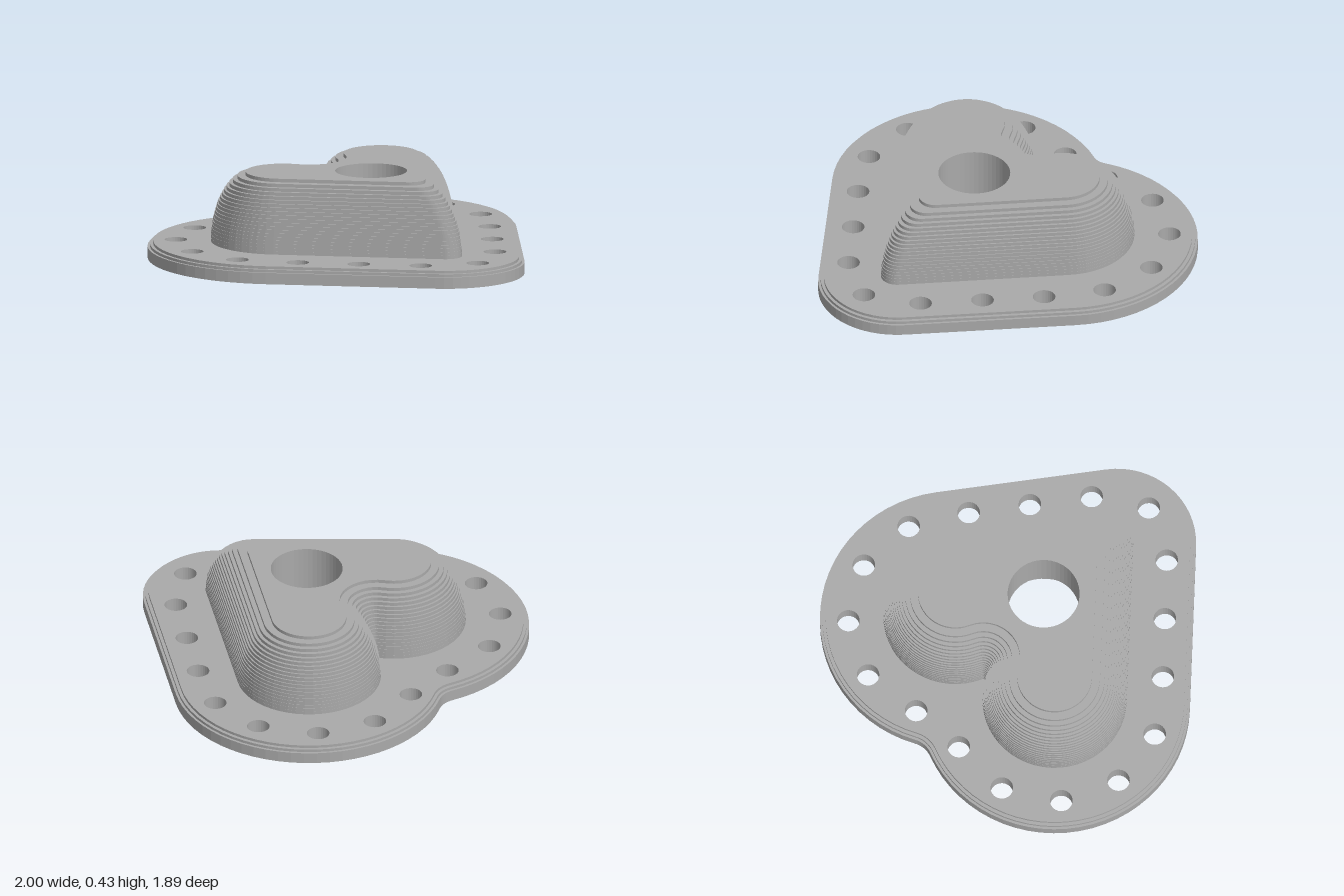
import * as THREE from 'three';

const LOBE_X = 0.33, LOBE_Z = -0.276;
const SIDE = THREE.MathUtils.degToRad(39.9); // direction of the straight sides' normal

// Points [x, z] along an arc
function arc(cx, cz, r, from, to, n) {
  return Array.from({ length: n + 1 }, (_, i) => {
    const a = from + (to - from) * i / n;
    return [cx + r * Math.cos(a), cz + r * Math.sin(a)];
  });
}

// Heart outline: rounded tip, round lobe, concave fillet at the notch, then mirrored
function heart(lobeR, notchR, tipZ, tipR) {
  const drop = Math.sqrt((lobeR + notchR) ** 2 - LOBE_X ** 2);
  const a = Math.atan2(-drop, -LOBE_X);
  const half = [
    ...arc(0, tipZ, tipR, Math.PI / 2, SIDE, 8),
    ...arc(LOBE_X, LOBE_Z, lobeR, SIDE, a, 28),
    ...arc(0, LOBE_Z - drop, notchR, a + Math.PI, Math.PI / 2, 6).slice(1),
  ];
  const mirrored = half.slice(1, -1).reverse().map(([x, z]) => [-x, z]);
  return [...half, ...mirrored];
}

const circle = (x, z, r, n) => arc(x, z, r, 0, -Math.PI * 2, n).slice(0, n);

// Faceted skin through a list of { points, y } rings
function skin(rings) {
  const pos = [];
  for (let k = 0; k < rings.length - 1; k++) {
    const lo = rings[k], hi = rings[k + 1], n = lo.points.length;
    const at = (ring, i) => [ring.points[i % n][0], ring.y, ring.points[i % n][1]];
    for (let i = 0; i < n; i++) {
      const a = at(lo, i), b = at(lo, i + 1), c = at(hi, i + 1), d = at(hi, i);
      pos.push(...a, ...b, ...c, ...a, ...c, ...d);
    }
  }
  const g = new THREE.BufferGeometry();
  g.setAttribute('position', new THREE.Float32BufferAttribute(pos, 3));
  g.computeVertexNormals();
  return g;
}

// Flat horizontal face with holes, facing up or down
function plate(outline, holes, y, faceDown = false) {
  const to2D = (pts) => pts.map(([x, z]) => new THREE.Vector2(x, -z));
  const shape = new THREE.Shape(to2D(outline));
  shape.holes = holes.map((h) => new THREE.Path(to2D(h)));
  const g = new THREE.ShapeGeometry(shape).rotateX(-Math.PI / 2).translate(0, y, 0);
  if (faceDown) {
    g.index.array.reverse();
    g.computeVertexNormals();
  }
  return g;
}

// Stacked terraces: each layer rises straight, then steps in
function terraces(layers) {
  return layers.flatMap(({ points, y0, y1 }) => [{ points, y: y0 }, { points, y: y1 }]);
}

export function createModel() {
  const group = new THREE.Group();
  const grey = new THREE.MeshStandardMaterial({ color: 0xaaaaaa });
  grey.name = 'plain grey';
  const add = (name, geometry) => {
    const mesh = new THREE.Mesh(geometry, grey);
    mesh.name = name;
    group.add(mesh);
  };

  const BASE_TOP = 0.085, TOP = 0.433;

  // Flange layers with a stepped upper edge
  const flangeLayers = [[0, 0, 0.057], [0.012, 0.057, 0.071], [0.028, 0.071, BASE_TOP]]
    .map(([d, y0, y1]) => ({ points: heart(0.67 - d, 0.12 + d, 0.555, 0.39 - d), y0, y1 }));

  // Dome layers following an elliptical shoulder
  const N = 20, step = (TOP - BASE_TOP) / N;
  const domeLayers = Array.from({ length: N }, (_, i) => {
    const t = 0.99 * (i + 1) / N;
    const d = 0.2 * (1 - Math.sqrt(1 - t * t));
    return {
      points: heart(0.357 - d, 0.01 + d, 0.555 - d / Math.sin(SIDE), 0.08),
      y0: BASE_TOP + i * step,
      y1: BASE_TOP + (i + 1) * step,
    };
  });

  // Bolt holes around the flange
  const spots = [[0.25, 0.643], [0.449, 0.408], [0.646, 0.174], [0.818, -0.078],
    [0.847, -0.378], [0.708, -0.647], [0.445, -0.794], [0.142, -0.775]];
  const boltHoles = [[0, 0.788], ...spots, ...spots.map(([x, z]) => [-x, z])]
    .map(([x, z]) => circle(x, z, 0.056, 28));

  // Central bore, wider underneath
  const bore = circle(0, 0.01, 0.178, 48);
  const counterbore = circle(0, 0.01, 0.237, 48);
  const ledgeY = BASE_TOP + 5 * step;

  add('flangeEdge', skin(terraces(flangeLayers)));
  add('flangeTop', plate(flangeLayers[2].points, [domeLayers[0].points, ...boltHoles], BASE_TOP));
  add('underside', plate(flangeLayers[0].points, [counterbore, ...boltHoles], 0, true));
  add('domeSide', skin(terraces(domeLayers)));
  add('domeTop', plate(domeLayers[N - 1].points, [bore], TOP));
  add('centreBore', skin([
    { points: bore, y: TOP }, { points: bore, y: ledgeY },
    { points: counterbore, y: ledgeY }, { points: counterbore, y: 0 },
  ]));
  for (const points of boltHoles) {
    add('boltHole', skin([{ points, y: BASE_TOP }, { points, y: 0 }]));
  }
  return group;
}
